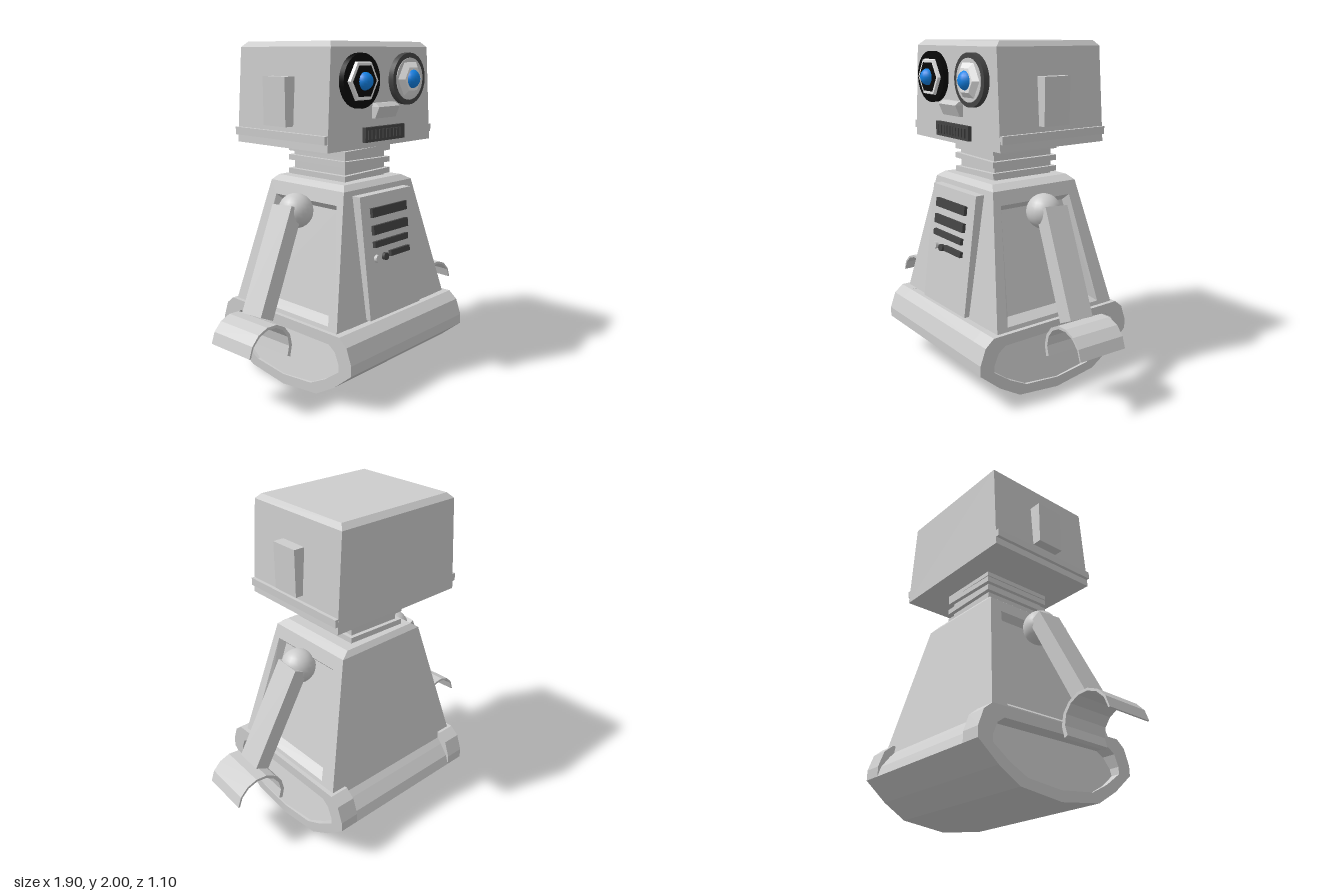
import * as THREE from 'three';

const mat = (name, color) => {
  const m = new THREE.MeshStandardMaterial({ color });
  m.name = name;
  return m;
};

// Flat-faced geometry from a list of convex polygons
function faces(polys) {
  const pos = [];
  for (const p of polys)
    for (let i = 1; i < p.length - 1; i++) pos.push(...p[0], ...p[i], ...p[i + 1]);
  const g = new THREE.BufferGeometry();
  g.setAttribute('position', new THREE.Float32BufferAttribute(pos, 3));
  g.computeVertexNormals();
  return g;
}

// Bridge neighbouring loops, optionally skipping some sides
function bridge(loops, skip = []) {
  const out = [];
  for (let j = 0; j < loops.length - 1; j++) {
    const a = loops[j], b = loops[j + 1], n = a.length;
    for (let i = 0; i < n; i++) {
      const k = (i + 1) % n;
      if (!skip.includes(i)) out.push([a[i], a[k], b[k], b[i]]);
    }
  }
  return out;
}

const loft = loops => faces([[...loops[0]].reverse(), ...bridge(loops), loops[loops.length - 1]]);

// Horizontal rectangle loop
const rect = (y, x0, x1, z0, z1) => [[x0, y, z1], [x1, y, z1], [x1, y, z0], [x0, y, z0]];

// Face with a sunken, bevelled panel; corners run bottom, bottom, top, top
function recess([a, b, c, d], [u0, u1, v0, v1], dx) {
  const at = (u, v, x) => a.map((_, i) =>
    (a[i] * (1 - u) + b[i] * u) * (1 - v) + (d[i] * (1 - u) + c[i] * u) * v + (i === 0 ? x : 0));
  const loop = (e, x) =>
    [at(u0 + e, v0 + e, x), at(u1 - e, v0 + e, x), at(u1 - e, v1 - e, x), at(u0 + e, v1 - e, x)];
  const floor = loop(0.045, dx);
  return [...bridge([[a, b, c, d], loop(0, 0), floor]), floor];
}

export function createModel() {
  const grey = mat('bodyGrey', 0xcccccc);
  const light = mat('lightGrey', 0xf0f0f0);
  const dark = mat('darkGrey', 0x444444);
  const black = mat('black', 0x080808);
  const blue = mat('eyeBlue', 0x1487ee);

  const model = new THREE.Group();
  const add = (name, geo, m, x = 0, y = 0, z = 0, parent = model) => {
    const mesh = new THREE.Mesh(geo, m);
    mesh.name = name;
    mesh.position.set(x, y, z);
    parent.add(mesh);
    return mesh;
  };
  const box = (name, w, h, d, m, x, y, z, parent) =>
    add(name, new THREE.BoxGeometry(w, h, d), m, x, y, z, parent);
  // Disc or cone frustum facing +z
  const disc = (name, rFront, rBack, depth, sides, m, x, y, z, parent) => {
    let g = new THREE.CylinderGeometry(rFront, rBack, depth, sides, 1, false, Math.PI / 2);
    g.rotateX(Math.PI / 2);
    if (sides < 12) { g = g.toNonIndexed(); g.computeVertexNormals(); }
    return add(name, g, m, x, y, z, parent);
  };

  // Base: rounded profile (z, y), a core with a lower back edge between two side rims
  const profile = [[0.46, 0.43], [0.515, 0.385], [0.55, 0.29], [0.55, 0.23], [0.42, 0.12], [0.28, 0.035], [0, 0],
    [-0.28, 0.035], [-0.42, 0.12], [-0.55, 0.23], [-0.55, 0.29], [-0.515, 0.385], [-0.46, 0.43]];
  const outer = x => profile.map(([z, y]) => [x, y, z]);
  const coreLoop = x => [...outer(x).slice(0, -3), [x, 0.29, -0.53], [x, 0.355, -0.48], [x, 0.4, -0.44]];
  add('baseCore', loft([coreLoop(-0.39), coreLoop(0.415)]), grey);
  // Rim opening, and its floor leaning inward towards the top
  const inner = x => profile.map(([z, y]) => [x, 0.2125 + (y - 0.2125) * 0.71, z * 0.83]);
  const floor = (x, s) => inner(x).map(([, y, z]) => [x - s * (0.01 + (y - 0.06) * 0.27), y, z]);
  add('leftBaseRim', loft([outer(0.415), outer(0.535), inner(0.535), floor(0.535, 1)]), grey);
  add('rightBaseRim', loft([floor(-0.51, -1), inner(-0.51), outer(-0.51), outer(-0.39)]), grey);

  // Torso: tapered, bevelled at the top, with sunken side panels
  const t0 = rect(0.39, -0.495, 0.52, -0.45, 0.425);
  const t1 = rect(1.18, -0.3, 0.305, -0.305, 0.3);
  const t2 = rect(1.21, -0.26, 0.25, -0.28, 0.265);
  add('torso', faces([
    ...bridge([t0, t1], [1, 3]), ...bridge([t1, t2]), t2,
    ...recess([t0[1], t0[2], t1[2], t1[1]], [0.08, 0.88, 0.08, 0.9], -0.045),
    ...recess([t0[3], t0[0], t1[0], t1[3]], [0.12, 0.92, 0.08, 0.9], 0.045),
  ]), grey);

  // Chest panel with vents and buttons
  add('chestPanel', loft([
    rect(0.44, -0.235, 0.225, 0.38, 0.45),
    rect(1.15, -0.235, 0.225, 0.27, 0.36),
  ]), grey);
  const lean = 0.126;
  const panelZ = y => 0.36 + (1.15 - y) * 0.127;
  for (const [x, y, w, h] of [[-0.005, 1.05, 0.31, 0.053], [-0.005, 0.95, 0.31, 0.053],
    [-0.01, 0.868, 0.3, 0.036], [0.06, 0.793, 0.175, 0.034]])
    box('vent', w, h, 0.04, dark, x, y, panelZ(y)).rotation.x = -lean;
  disc('lightButton', 0.022, 0.022, 0.04, 16, grey, -0.14, 0.785, panelZ(0.785)).rotation.x = -lean;
  disc('darkButton', 0.022, 0.022, 0.04, 16, dark, -0.07, 0.785, panelZ(0.785)).rotation.x = -lean;

  // Neck: square core with slightly tilted rings
  box('neckCore', 0.35, 0.24, 0.42, grey, -0.005, 1.31, -0.015);
  [[1.235, 0.025], [1.31, -0.02], [1.375, 0.02], [1.41, 0]].forEach(([y, tilt]) => {
    box('neckRing', 0.4, 0.033, 0.47, grey, -0.005, y, -0.015).rotation.z = tilt;
  });

  // Head
  const head = new THREE.Group();
  head.name = 'head';
  model.add(head);
  add('skull', loft([
    rect(1.42, -0.47, 0.43, -0.405, 0.34),
    rect(1.97, -0.435, 0.388, -0.395, 0.333),
    rect(2.0, -0.405, 0.365, -0.365, 0.3),
  ]), grey, 0, 0, 0, head);
  for (const s of [-1, 1]) {
    const side = s < 0 ? 'right' : 'left';
    box(side + 'JawRidge', 0.06, 0.045, 0.74, grey, -0.022 + s * 0.436, 1.487, -0.033, head);
    box(side + 'Ear', 0.12, 0.27, 0.18, grey, s < 0 ? -0.46 : 0.407, 1.677, -0.02, head);
  }

  // Eyes
  disc('rightEyeRim', 0.148, 0.148, 0.045, 32, black, -0.23, 1.79, 0.3475, head);
  disc('rightEyeFrame', 0.112, 0.12, 0.02, 6, light, -0.23, 1.79, 0.377, head);
  disc('rightEyeHollow', 0.095, 0.095, 0.008, 6, black, -0.23, 1.79, 0.386, head);
  disc('leftEyeRim', 0.148, 0.148, 0.045, 32, dark, 0.18, 1.79, 0.3475, head);
  disc('leftEyeDisc', 0.12, 0.12, 0.008, 32, grey, 0.18, 1.79, 0.37, head);
  disc('leftEyeCone', 0.075, 0.11, 0.026, 6, light, 0.18, 1.79, 0.386, head);
  add('rightPupil', new THREE.SphereGeometry(0.05, 16, 12), blue, -0.23, 1.79, 0.383, head);
  add('leftPupil', new THREE.SphereGeometry(0.057, 16, 12), blue, 0.18, 1.79, 0.378, head);

  // Nose and mouth grille
  add('nose', loft([
    rect(1.58, -0.11, 0.07, 0.32, 0.36),
    rect(1.645, -0.11, 0.07, 0.32, 0.39),
    rect(1.665, -0.105, 0.065, 0.32, 0.36),
  ]), grey, 0, 0, 0, head);
  box('mouth', 0.345, 0.083, 0.04, dark, -0.018, 1.493, 0.342, head);
  for (let i = 0; i < 10; i++)
    box('mouthSlot', 0.022, 0.052, 0.009, dark, -0.162 + i * 0.031, 1.493, 0.366, head);

  // Arms: ball shoulder, flat arm, curved claw tapering to its outer tip
  const claw = new THREE.Shape();
  const n = 8, a0 = -25, a1 = 173;
  const arc = (r, i) => {
    const a = THREE.MathUtils.degToRad(a0 + (a1 - a0) * i / n);
    return [r * Math.cos(a), r * Math.sin(a)];
  };
  claw.moveTo(...arc(0.158, 0));
  for (let i = 1; i <= n; i++) claw.lineTo(...arc(0.158, i));
  for (let i = n; i >= 0; i--) claw.lineTo(...arc(0.134 + 0.014 * i / n, i));
  const clawGeo = new THREE.ExtrudeGeometry(claw, { depth: 0.31, bevelEnabled: false });
  clawGeo.translate(0, 0, -0.155);
  const clawMirror = clawGeo.clone().rotateY(Math.PI);

  for (const s of [-1, 1]) {
    const side = s < 0 ? 'right' : 'left';
    const arm = new THREE.Group();
    arm.name = side + 'Arm';
    model.add(arm);
    const zHand = s < 0 ? 0.055 : 0.025;
    add(side + 'Shoulder', new THREE.SphereGeometry(0.103, 20, 14), grey, s * 0.387, 1.045, 0, arm);
    const top = new THREE.Vector3(s * 0.437, 1.07, -0.015);
    const end = new THREE.Vector3(s * 0.72, 0.495, 0.03);
    const limb = box(side + 'Limb', 0.095, top.distanceTo(end), 0.16, grey, 0, 0, 0, arm);
    limb.position.copy(top).add(end).multiplyScalar(0.5);
    limb.quaternion.setFromUnitVectors(new THREE.Vector3(0, 1, 0), top.clone().sub(end).normalize());
    const hand = add(side + 'Claw', s < 0 ? clawGeo : clawMirror, grey, s * 0.785, 0.35, zHand, arm);
    hand.rotation.y = s < 0 ? 0.04 : -0.05;
  }
  return model;
}
